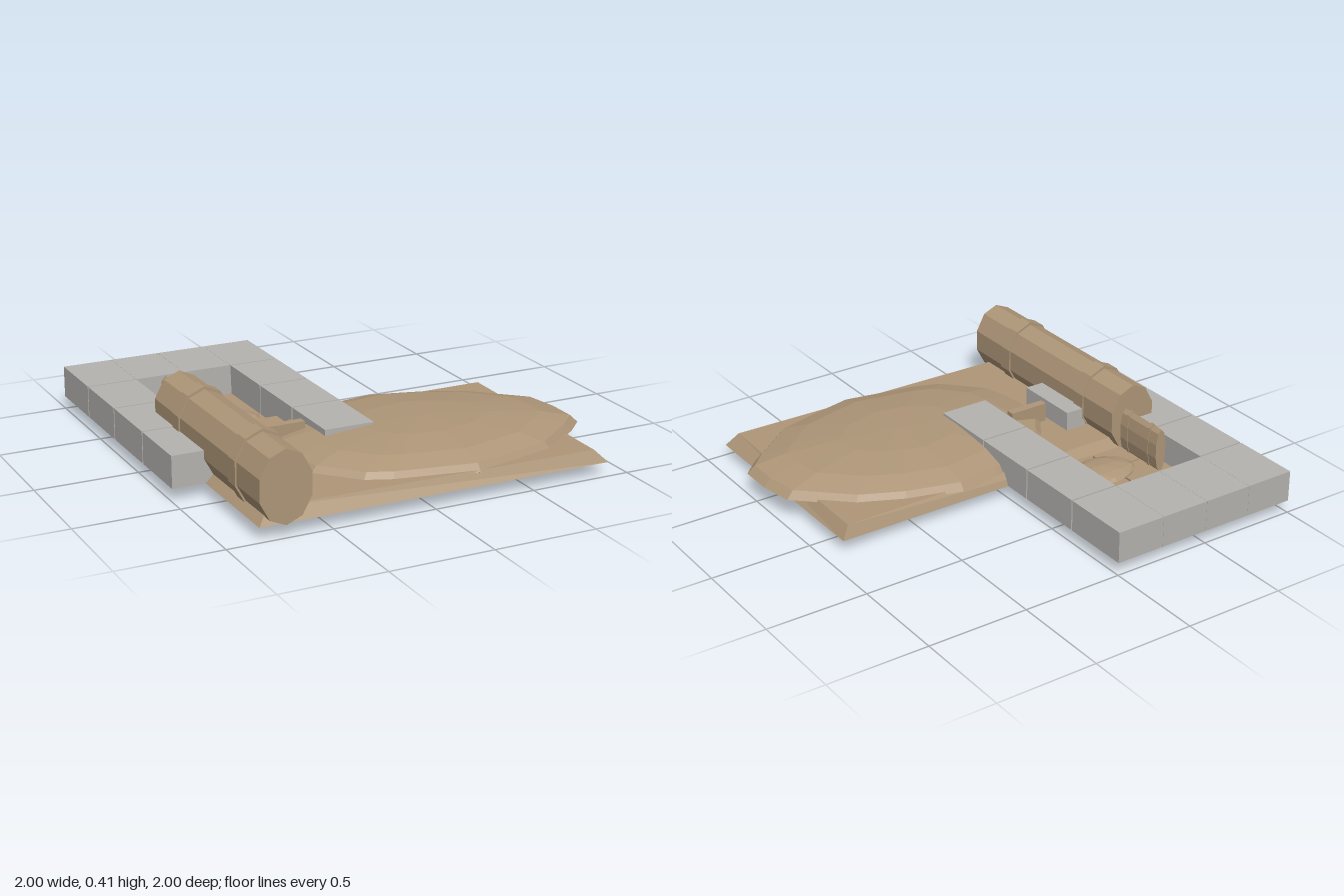
import * as THREE from 'three';

const tan = new THREE.MeshStandardMaterial({ color: 0xae9678 });
tan.name = 'sandstone tan';
const gray = new THREE.MeshStandardMaterial({ color: 0xb5b3af });
gray.name = 'stone gray';

function add(parent, geometry, material, name) {
  const mesh = new THREE.Mesh(geometry, material);
  mesh.name = name;
  parent.add(mesh);
  return mesh;
}

// Box given by its lower and upper corners
function box(parent, material, name, x0, x1, y0, y1, z0, z1) {
  const mesh = add(parent, new THREE.BoxGeometry(x1 - x0, y1 - y0, z1 - z0), material, name);
  mesh.position.set((x0 + x1) / 2, (y0 + y1) / 2, (z0 + z1) / 2);
}

// Flat-faced skin through rings of [x, y, z] points, stacked from bottom to top
function loft(rings) {
  const n = rings[0].length, index = [];
  for (let i = 0; i < rings.length - 1; i++) {
    for (let j = 0; j < n; j++) {
      const a = i * n + j, b = i * n + (j + 1) % n, c = a + n, d = b + n;
      if (i < rings.length - 2) index.push(a, c, d);
      if (i > 0) index.push(a, d, b);
    }
  }
  const g = new THREE.BufferGeometry();
  g.setAttribute('position', new THREE.Float32BufferAttribute(rings.flat(2), 3));
  g.setIndex(index);
  const flat = g.toNonIndexed();
  flat.computeVertexNormals();
  return flat;
}

// Ten-sided oval prism lying along z, a vertex at the top
function ovalLog(parent, name, x, y, rx, ry, z0, z1) {
  const g = new THREE.CylinderGeometry(1, 1, z1 - z0, 10).toNonIndexed();
  g.rotateX(Math.PI / 2);
  g.scale(rx, ry, 1);
  g.computeVertexNormals();
  add(parent, g, tan, name).position.set(x, y, (z0 + z1) / 2);
}

export function createModel() {
  const model = new THREE.Group();
  model.name = 'courtyard';

  // Gray wall blocks around three sides of the court
  const walls = new THREE.Group();
  walls.name = 'walls';
  model.add(walls);
  const rows = [-1, -0.65, -0.297, 0.062, 0.415];
  for (let r = 0; r < 4; r++) {
    for (let c = 0; c < 4; c++) {
      const solid = r === 0 || c === 0 || c === 3 || (r === 3 && c === 1);
      const x0 = -1 + c * 0.25, z0 = rows[r] + (r ? 0.004 : 0), z1 = rows[r + 1] - 0.004;
      if (solid) {
        box(walls, gray, 'wallBlock', x0, x0 + 0.249, 0.063, 0.218, z0, z1);
      } else if (r < 3) {
        // Tan floor tiles inside the walls
        const gap = c === 1 ? [0, 0.006] : [0.006, 0];
        box(model, tan, 'floorTile', x0 + gap[0], x0 + 0.25 - gap[1], 0.058, 0.072, z0, z1);
      }
    }
  }

  // Wide base slab with bevelled edges
  const low = [[-0.84, -0.145], [0.905, -0.145], [0.905, 0.985], [-0.84, 0.985]];
  const high = [[-0.78, -0.105], [0.864, -0.12], [0.845, 0.955], [-0.78, 0.93]];
  const at = (pts, y) => pts.map(([x, z]) => [x, y, z]);
  const point = (x, y, z, n) => Array.from({ length: n }, () => [x, y, z]);
  add(model, loft([
    point(0.03, 0.062, 0.42, 4), at(low, 0.062), at(high, 0.122), point(0.03, 0.122, 0.42, 4),
  ]), tan, 'baseSlab');

  // Large flattened boulder: one outline shrunk towards top and bottom
  const outline = [
    [0.25, -0.145], [0.52, -0.07], [0.73, 0.03], [0.97, 0.25], [1, 0.42], [1, 0.58], [0.91, 0.67],
    [0.68, 0.85], [0.49, 0.9], [0.25, 0.955], [-0.15, 0.88], [-0.27, 0.83], [-0.44, 0.65],
    [-0.48, 0.5], [-0.5, 0.28], [-0.38, 0.1], [-0.2, -0.05], [0.02, -0.11],
  ];
  const levels = [[0, 0], [0.45, 0.017], [0.8, 0.052], [1, 0.113], [0.95, 0.15], [0.75, 0.184], [0.4, 0.206], [0, 0.212]];
  add(model, loft(levels.map(([s, y]) =>
    outline.map(([x, z]) => [0.25 + (x - 0.25) * s, y, 0.41 + (z - 0.41) * s]))), tan, 'largeBoulder');

  // Small boulder in the court
  const pebble = new THREE.IcosahedronGeometry(1, 1);
  pebble.scale(0.187, 0.038, 0.13);
  pebble.computeVertexNormals();
  add(model, pebble, tan, 'smallBoulder').position.set(-0.443, 0.068, -0.292);

  // Long fallen column with two collars
  const column = new THREE.Group();
  column.name = 'largeColumn';
  model.add(column);
  ovalLog(column, 'columnShaft', -0.722, 0.23, 0.129, 0.172, -0.165, 1);
  for (const [z0, z1] of [[0.065, 0.137], [0.692, 0.765]]) {
    ovalLog(column, 'columnCollar', -0.722, 0.23, 0.137, 0.185, z0, z1);
  }

  // Short narrow column behind it
  const post = new THREE.Group();
  post.name = 'smallColumn';
  model.add(post);
  ovalLog(post, 'postShaft', -0.682, 0.177, 0.03, 0.113, -0.44, -0.165);
  for (const z of [-0.373, -0.213]) {
    ovalLog(post, 'postCollar', -0.682, 0.177, 0.033, 0.121, z - 0.008, z + 0.008);
  }

  // Upright slab beside the boulder
  box(model, tan, 'uprightSlab', -0.48, -0.277, 0.1, 0.216, 0.215, 0.257);

  return model;
}
